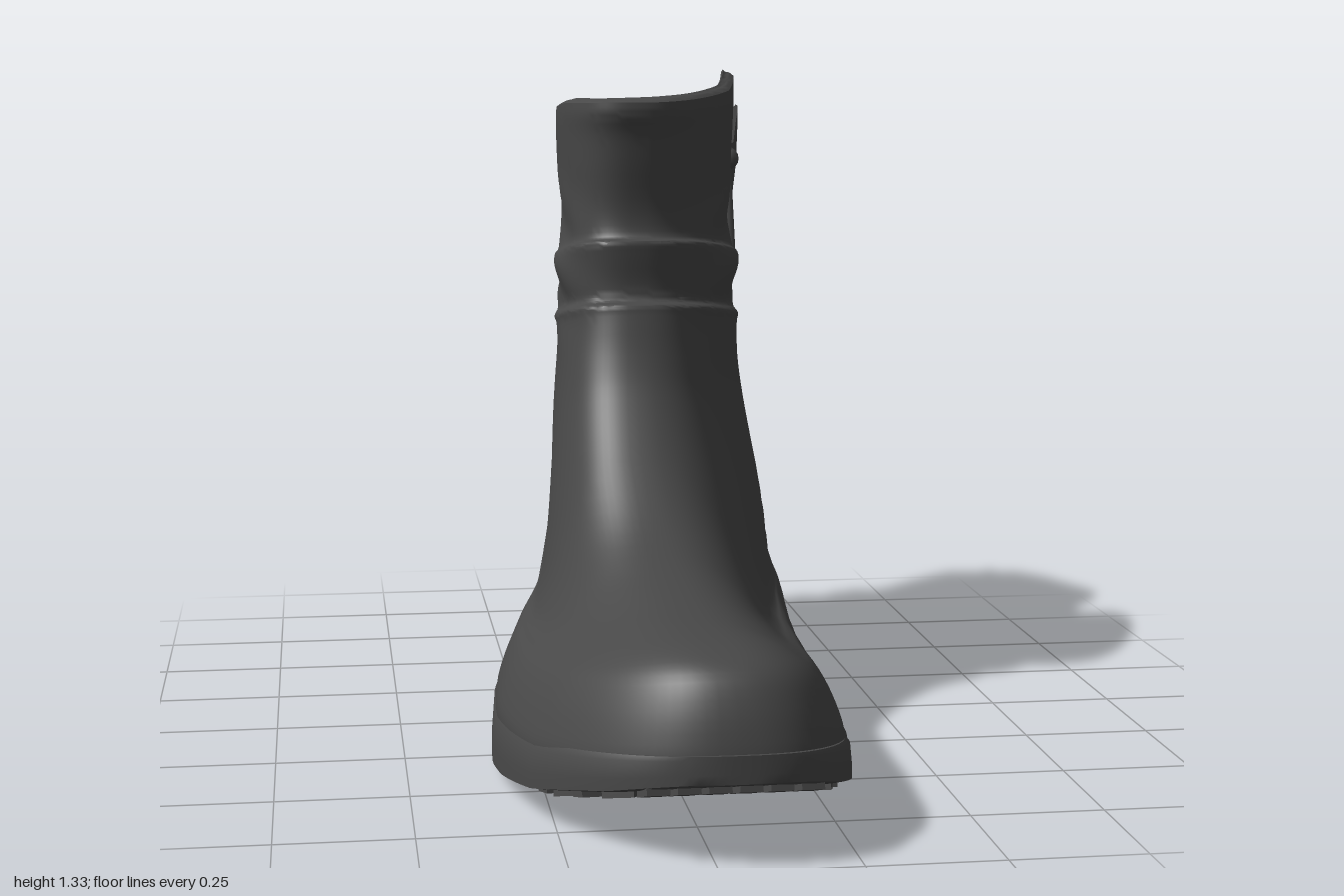
import * as THREE from 'three';
import { mergeGeometries, toCreasedNormals } from 'three/addons/utils/BufferGeometryUtils.js';

const leather = new THREE.MeshStandardMaterial({ color: 0x484848, side: THREE.DoubleSide });
leather.name = 'charcoal leather';

const { lerp, smoothstep } = THREE.MathUtils;
const bell = (v, centre, width) => Math.exp(-(((v - centre) / width) ** 2));

// Piecewise linear lookup in [[position, value], ...]
function lookup(pts, z) {
  if (z <= pts[0][0]) return pts[0][1];
  for (let i = 1; i < pts.length; i++) {
    const [a, va] = pts[i - 1], [b, vb] = pts[i];
    if (z <= b) return lerp(va, vb, (z - a) / (b - a));
  }
  return pts[pts.length - 1][1];
}

// Sideways bend of the foot, sole lines and collar edges, all along z
const bend = [[-1, 0.145], [-0.5, 0.087], [-0.2, 0.063], [0, 0.024], [0.2, -0.004], [0.4, -0.014], [0.7, -0.003], [1, 0.04]];
const soleBottom = [[-0.93, 0.03], [-0.88, 0.012], [-0.31, 0.014], [-0.28, 0.045], [-0.24, 0.07], [-0.17, 0.055],
  [-0.08, 0.03], [0.1, 0.012], [0.3, 0.015], [0.5, 0.03], [0.7, 0.063], [0.9, 0.115], [1, 0.15]];
const soleTop = [[-0.93, 0.22], [-0.4, 0.21], [-0.25, 0.18], [0, 0.15], [0.4, 0.13], [0.7, 0.15], [1, 0.2]];
const zipSideEdge = [[-1, 1.15], [-0.8, 1.215], [-0.68, 1.255], [-0.6, 1.22], [-0.56, 1.17], [-0.54, 1.13],
  [-0.5, 1.13], [-0.47, 1.24], [-0.43, 1.3], [-0.38, 1.32], [-0.2, 1.29], [0.02, 1.27]];
const plainSideEdge = [[-1, 1.15], [-0.8, 1.19], [-0.6, 1.175], [-0.53, 1.13], [-0.48, 1.2], [-0.43, 1.25],
  [-0.2, 1.265], [0.02, 1.27]];

// Rings: front z, front y, back z, back y, front half width, back half width, side sag, collar lift
const foot = [
  [0.985, 0.17, -0.915, 0.1, 0.352, 0.25, 0.06, 0],
  [0.985, 0.2, -0.92, 0.16, 0.348, 0.25, 0.07, 0],
  [0.965, 0.27, -0.92, 0.21, 0.322, 0.25, 0.088, 0],
  [0.93, 0.325, -0.92, 0.24, 0.293, 0.25, 0.105, 0],
  [0.86, 0.352, -0.92, 0.27, 0.273, 0.25, 0.13, 0],
  [0.74, 0.363, -0.92, 0.3, 0.257, 0.248, 0.145, 0],
  [0.6, 0.377, -0.92, 0.34, 0.246, 0.242, 0.15, 0],
  [0.45, 0.41, -0.925, 0.39, 0.24, 0.232, 0.14, 0],
  [0.32, 0.47, -0.925, 0.44, 0.236, 0.222, 0.12, 0],
  [0.2, 0.57, -0.92, 0.52, 0.228, 0.21, 0.1, 0],
  [0.11, 0.68, -0.91, 0.6, 0.216, 0.198, 0.07, 0],
  [0.07, 0.76, -0.9, 0.66, 0.208, 0.185, 0.04, 0],
];
const shaft = [
  [0.045, 0.84, -0.89, 0.712, 0.205, 0.177, 0.02, 0],
  [0.038, 0.86, -0.905, 0.725, 0.208, 0.184, 0.01, 0],
  [0.008, 0.867, -0.913, 0.745, 0.194, 0.186, 0, 0],
  [0.003, 0.9, -0.912, 0.79, 0.2, 0.184, 0, 0],
  [0.01, 0.96, -0.888, 0.81, 0.208, 0.175, 0, 0],
  [0.01, 0.987, -0.883, 0.845, 0.205, 0.174, 0, 0],
  [-0.015, 0.995, -0.89, 0.88, 0.19, 0.177, 0, 0],
  [-0.02, 1.05, -0.915, 0.95, 0.185, 0.183, 0, 0.1],
  [-0.005, 1.14, -0.94, 1.0, 0.188, 0.19, 0, 0.4],
  [0.005, 1.2, -0.965, 1.06, 0.192, 0.194, 0, 0.75],
  [0.018, 1.24, -0.99, 1.12, 0.194, 0.197, 0, 0.92],
  [0.018, 1.265, -1, 1.145, 0.193, 0.197, 0, 1],
];
const lining = [
  [0.0, 1.272, -0.985, 1.152, 0.178, 0.182, 0, 1],
  [-0.02, 1.25, -0.96, 1.13, 0.163, 0.167, 0, 1],
  [-0.05, 1.05, -0.87, 0.92, 0.152, 0.15, 0, 0.2],
  [-0.05, 0.7, -0.85, 0.6, 0.155, 0.15, 0, 0],
  [-0.05, 0.35, -0.86, 0.3, 0.145, 0.15, 0, 0],
  [-0.08, 0.25, -0.85, 0.24, 0.13, 0.145, 0, 0],
  [-0.46, 0.24, -0.47, 0.24, 0.005, 0.005, 0, 0],
];

// Joins rings of equal point count into a skin
function skin(rings) {
  const n = rings[0].length, index = [];
  for (let i = 0; i < rings.length - 1; i++) {
    for (let j = 0; j < n; j++) {
      const a = i * n + j, b = i * n + ((j + 1) % n);
      index.push(a, b, a + n, b, b + n, a + n);
    }
  }
  const geo = new THREE.BufferGeometry();
  geo.setAttribute('position', new THREE.Float32BufferAttribute(rings.flat(2), 3));
  geo.setIndex(index);
  return toCreasedNormals(geo, 0.75);
}

const roundness = (s) => (s < 0 ? 0.68 : 0.8);

function bootRing(row, folds, count = 120) {
  const [fz, fy, bz, by, wf, wb, sag, lift] = row;
  const ring = [];
  for (let j = 0; j < count; j++) {
    const angle = (j / count) * Math.PI * 2;
    const c = Math.cos(angle), sn = Math.sin(angle), e = roundness(c);
    const s = Math.sign(c) * Math.abs(c) ** e, f = (s + 1) / 2;
    const z = lerp(bz, fz, f);
    let y = lerp(by, fy, f) - sag * sn * sn * f;
    const edge = lerp(lookup(plainSideEdge, z), lookup(zipSideEdge, z), smoothstep(sn, -0.3, 0.3));
    y += lift * (edge - lerp(1.15, 1.27, f));
    let width = lerp(wb, wf, smoothstep(f, 0, 1)) * Math.abs(sn) ** e;
    if (folds) {
      // Slanting folds round the ankle, then the zip groove, back flap and side crease
      const slack = bell(y, 0.93, 0.13) * Math.abs(sn);
      width += 0.006 * slack * Math.sin(y * 45 + z * 9);
      if (sn > 0) {
        width -= 0.02 * bell(z, -0.51, 0.025) * smoothstep(y, 0.75, 0.95);
        width += 0.02 * bell(z, -0.66, 0.1) * smoothstep(y, 0.9, 1.08);
        width -= 0.015 * bell(z + (y - 0.38) * 0.5, -0.25, 0.02) * bell(y, 0.38, 0.08);
      }
    }
    // The front of the shaft leans inward
    const lean = 0.032 * smoothstep(y, 0.3, 0.72) * f;
    ring.push([lookup(bend, z) - lean + Math.sign(sn) * width, y, z]);
  }
  return ring;
}

// Smoothly fills in rings between the given ones
function fillRings(rows, steps) {
  const out = [];
  for (let i = 0; i < rows.length - 1; i++) {
    const p = [i - 1, i, i + 1, i + 2].map((k) => rows[Math.min(Math.max(k, 0), rows.length - 1)]);
    for (let k = 0; k < steps; k++) {
      const t = k / steps;
      out.push(p[1].map((v, m) => {
        const a = p[0][m], b = p[2][m], d = p[3][m];
        return v + 0.5 * t * (b - a + t * (2 * a - 5 * v + 4 * b - d + t * (3 * (v - b) + d - a)));
      }));
    }
  }
  out.push(rows[rows.length - 1]);
  return out;
}

// Half width of the sole at a given z
function soleWidth(z) {
  const s = THREE.MathUtils.clamp((z - 0.035) / 0.965, -1, 1), e = roundness(s);
  const sn = Math.sqrt(Math.max(0, 1 - Math.abs(s) ** (2 / e)));
  return lerp(0.258, 0.36, smoothstep((s + 1) / 2, 0, 1)) * sn ** e - 0.01 * bell(z, -0.06, 0.1);
}

function soleGeometry() {
  const section = [[1, 0.04], [1, 0.35], [0.985, 0.85], [0.95, 1], [0, 1],
    [-0.95, 1], [-0.985, 0.85], [-1, 0.35], [-1, 0.04], [-0.9, 0], [0, 0], [0.9, 0]];
  const rings = [];
  for (let i = 0; i <= 100; i++) {
    const z = 0.035 - 0.965 * Math.cos((i / 100) * Math.PI);
    const w = soleWidth(z), low = lookup(soleBottom, z), high = lookup(soleTop, z);
    rings.push(section.map(([u, v]) => [lookup(bend, z) + u * w, lerp(low, high, v), z]));
  }
  return skin(rings);
}

// Rows of slanted lugs under the sole
function treadGeometry() {
  const lugs = [];
  for (let r = 0; r < 26; r++) {
    const z = -0.87 + r * 0.072;
    if (z > -0.36 && z < -0.14) continue;
    const w = soleWidth(z) * 0.9;
    const slope = (lookup(soleBottom, z + 0.02) - lookup(soleBottom, z - 0.02)) / 0.04;
    for (let c = 0; c < 6; c++) {
      const lug = new THREE.BoxGeometry(w * 0.27, 0.016, 0.046);
      lug.rotateY(r % 2 ? 0.25 : -0.25);
      lug.rotateX(-Math.atan(slope));
      lug.translate(lookup(bend, z) + ((c - 2.5) / 3) * w, lookup(soleBottom, z) - 0.003, z);
      lugs.push(lug);
    }
  }
  return mergeGeometries(lugs);
}

export function createModel() {
  const boot = new THREE.Group();
  boot.name = 'boot';
  const add = (name, geo) => {
    const mesh = new THREE.Mesh(geo, leather);
    mesh.name = name;
    boot.add(mesh);
    return mesh;
  };

  // Outer leather and the lining that turns over the collar
  const outer = fillRings([...foot, ...shaft], 4);
  add('upper', skin(outer.map((row) => bootRing(row, true))));
  const inner = fillRings([shaft[shaft.length - 1], ...lining], 4);
  add('lining', skin(inner.map((row) => bootRing(row, false))));

  add('sole', soleGeometry());
  add('tread', treadGeometry());

  // Zip pull hanging below the notch
  const pull = add('zipPull', new THREE.CylinderGeometry(0.014, 0.026, 0.2, 8));
  pull.scale.x = 0.6;
  pull.position.set(0.258, 1.02, -0.487);
  pull.rotation.x = -0.12;
  const slider = add('zipSlider', new THREE.SphereGeometry(0.026, 12, 8));
  slider.position.set(0.258, 1.13, -0.5);
  return boot;
}
